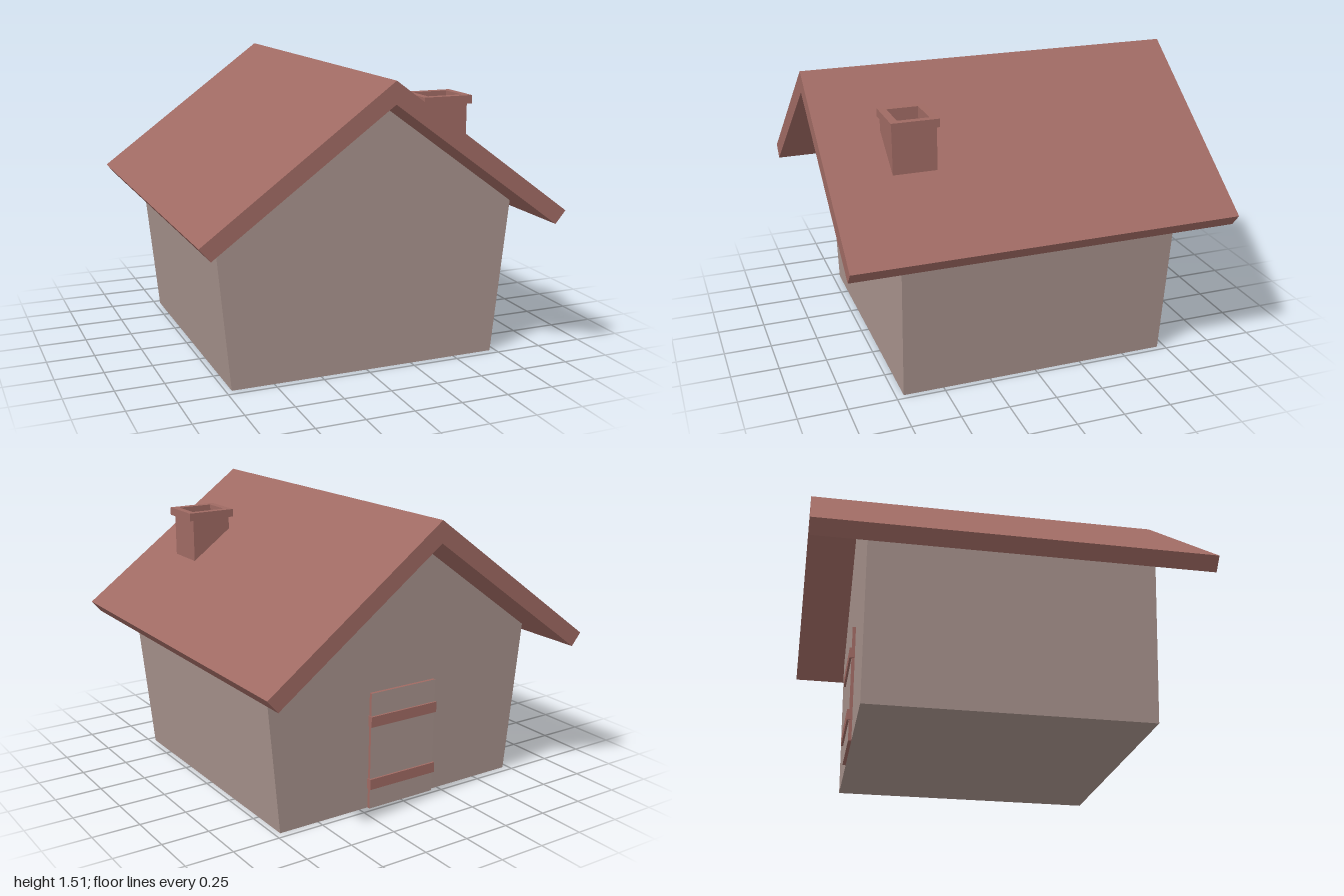
import * as THREE from 'three';

const wallMat = new THREE.MeshStandardMaterial({ name: 'wall grey', color: 0xa8938d });
const roofMat = new THREE.MeshStandardMaterial({ name: 'roof red', color: 0x9f6a63 });

// Polygon in x, y extruded along z and centred on z = 0
function prism(points, depth) {
  const shape = new THREE.Shape(points.map(([x, y]) => new THREE.Vector2(x, y)));
  const geo = new THREE.ExtrudeGeometry(shape, { depth, bevelEnabled: false });
  return geo.translate(0, 0, -depth / 2);
}

// Move every vertex by a rule, then restore flat normals
function reshape(geo, rule) {
  const flat = geo.index ? geo.toNonIndexed() : geo;
  const pos = flat.attributes.position;
  const v = new THREE.Vector3();
  for (let i = 0; i < pos.count; i++) {
    rule(v.fromBufferAttribute(pos, i));
    pos.setXYZ(i, v.x, v.y, v.z);
  }
  flat.computeVertexNormals();
  return flat;
}

// Square tube standing on y = 0, open through the middle
function squareTube(w, d, holeW, holeD, height) {
  const rect = (path, a, b) => path.moveTo(-a / 2, -b / 2).lineTo(a / 2, -b / 2)
    .lineTo(a / 2, b / 2).lineTo(-a / 2, b / 2).closePath();
  const shape = rect(new THREE.Shape(), w, d);
  shape.holes.push(rect(new THREE.Path(), holeW, holeD));
  const geo = new THREE.ExtrudeGeometry(shape, { depth: height, bevelEnabled: false });
  return geo.rotateX(-Math.PI / 2);
}

export function createModel() {
  const house = new THREE.Group();
  house.name = 'house';
  const add = (name, geo, mat, parent = house) => {
    const mesh = new THREE.Mesh(geo, mat);
    mesh.name = name;
    parent.add(mesh);
    return mesh;
  };

  // Walls flare outward toward the top
  const lean = 0.013;
  const walls = prism([[-0.72, 0], [0.72, 0], [0.8, 0.82], [0, 1.4], [-0.8, 0.82]], 1.42);
  add('walls', reshape(walls, v => { v.z += Math.sign(v.z) * lean * v.y; }), wallMat);

  // Roof: one folded slab with square-cut eaves
  add('roof', prism([
    [0, 1.51], [-0.95, 0.815], [-0.895, 0.75], [0, 1.4], [0.895, 0.75], [0.95, 0.815],
  ], 2), roofMat);

  // Chimney: hollow shaft cut along the roof slope, with a wider rim
  const chimney = new THREE.Group();
  chimney.name = 'chimney';
  house.add(chimney);
  const cx = 0.44, cz = 0.571;
  const shaft = squareTube(0.218, 0.224, 0.191, 0.16, 1).translate(cx, 0, cz);
  add('chimneyShaft', reshape(shaft, v => {
    v.y = v.y > 0.5 ? 1.335 : 1.49 - 0.73 * v.x;
  }), roofMat, chimney);
  add('chimneyRim', squareTube(0.266, 0.24, 0.191, 0.16, 0.042).translate(cx, 1.333, cz), roofMat, chimney);

  // Back door: red edges, grey face, two straps, all following the wall's lean
  const door = new THREE.Group();
  door.name = 'backDoor';
  house.add(door);
  const leanBack = geo => {
    const pos = geo.attributes.position;
    for (let i = 0; i < pos.count; i++) pos.setZ(i, pos.getZ(i) - lean * pos.getY(i));
    return geo;
  };
  const panel = new THREE.BoxGeometry(0.4, 0.622, 0.03).translate(0, 0.311, -0.712);
  const edge = roofMat;
  add('doorPanel', leanBack(panel), [edge, edge, edge, edge, edge, wallMat], door);
  for (const y of [0.136, 0.474]) {
    const strap = new THREE.BoxGeometry(0.41, 0.056, 0.04).translate(0, y, -0.718);
    add('doorStrap', leanBack(strap), roofMat, door);
  }
  return house;
}
